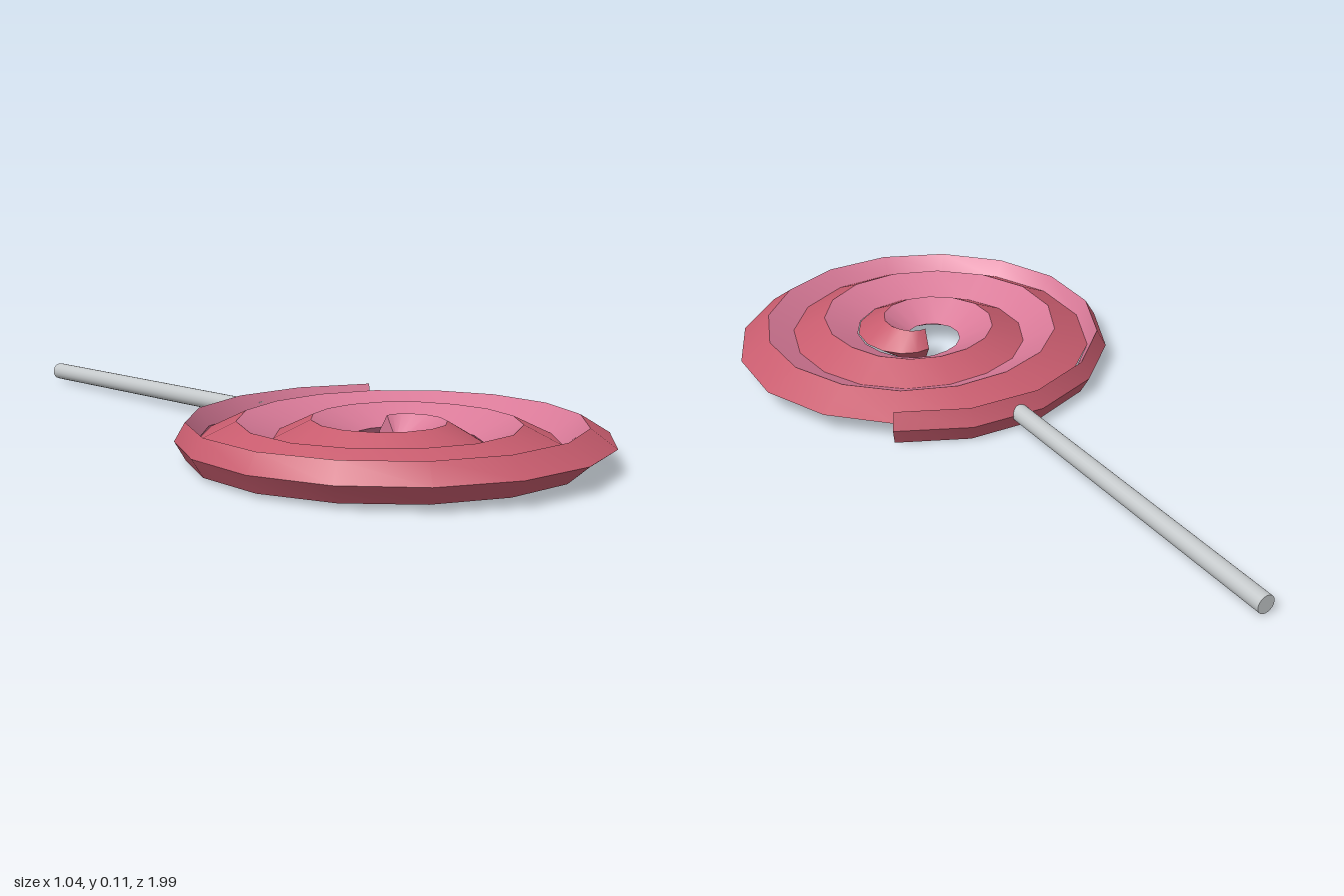
import * as THREE from 'three';

const CENTRE_Z = 0.47;   // middle of the swirl
const HALF_HEIGHT = 0.046;
const STEPS = 16;        // segments per turn

// Ridge radius and half width of the candy rope at every quarter turn, inside to outside
const RIDGE = [0.035, 0.075, 0.15, 0.2, 0.21, 0.245, 0.335, 0.385, 0.38, 0.43, 0.47, 0.5, 0.51, 0.515];
const WIDTH = [0.03, 0.07, 0.09, 0.095, 0.095, 0.095, 0.095, 0.095, 0.095, 0.09, 0.05, 0.03, 0.022, 0.018];

function sample(list, t) {
  const i = Math.min(Math.floor(t), list.length - 2);
  return THREE.MathUtils.lerp(list[i], list[i + 1], t - i);
}

// Diamond cross-section of the rope at one angle: top, outer, bottom, inner
function section(angle) {
  const t = angle / (Math.PI / 2);
  const r = sample(RIDGE, t), w = sample(WIDTH, t);
  return [[r, HALF_HEIGHT], [r + w, 0], [r, -HALF_HEIGHT], [r - w, 0]].map(([d, y]) =>
    [d * Math.sin(angle), y, CENTRE_Z - d * Math.cos(angle)]);
}

function surface(points, index) {
  const geometry = new THREE.BufferGeometry();
  geometry.setAttribute('position', new THREE.Float32BufferAttribute(points.flat(), 3));
  geometry.setIndex(index);
  geometry.computeVertexNormals();
  return geometry;
}

// One sloping side of the rope, between two corners of its cross-section
function slope(sections, a, b) {
  const points = [], index = [];
  sections.forEach((s, i) => {
    points.push(s[a], s[b]);
    if (i === 0) return;
    const p = 2 * i - 2;
    index.push(p, p + 2, p + 1, p + 1, p + 2, p + 3);
  });
  return surface(points, index);
}

export function createModel() {
  const red = new THREE.MeshStandardMaterial({ name: 'red candy', color: 0xc85c6e });
  const pink = new THREE.MeshStandardMaterial({ name: 'pink candy', color: 0xd97a98 });
  const grey = new THREE.MeshStandardMaterial({ name: 'pale grey stick', color: 0xc4c8ca });

  const model = new THREE.Group();
  model.name = 'lollipop';
  const add = (parent, name, geometry, material) => {
    const mesh = new THREE.Mesh(geometry, material);
    mesh.name = name;
    parent.add(mesh);
    return mesh;
  };

  // Spiral candy, with three full turns and a short tail
  const end = THREE.MathUtils.degToRad(3 * 360 + 38);
  const step = 2 * Math.PI / STEPS;
  const sections = [];
  for (let i = Math.floor(end / step); i >= 0; i--) sections.push(section(end - i * step));

  const candy = new THREE.Group();
  candy.name = 'swirlCandy';
  model.add(candy);
  add(candy, 'outerUpperSlope', slope(sections, 0, 1), red);
  add(candy, 'outerLowerSlope', slope(sections, 1, 2), red);
  add(candy, 'innerLowerSlope', slope(sections, 2, 3), pink);
  add(candy, 'innerUpperSlope', slope(sections, 3, 0), pink);
  add(candy, 'outerEndCap', surface(sections[sections.length - 1], [0, 2, 1, 0, 3, 2]), red);
  add(candy, 'innerEndCap', surface(sections[0], [0, 1, 2, 0, 2, 3]), pink);

  // Stick, pushed a little way into the rim
  const stick = add(model, 'stick', new THREE.CylinderGeometry(0.024, 0.024, 0.98, 20), grey);
  stick.rotation.x = Math.PI / 2;
  stick.position.z = -0.51;

  // The lollipop lies slightly tilted
  model.rotation.x = -0.017;
  model.position.y = 0.048;
  return model;
}
